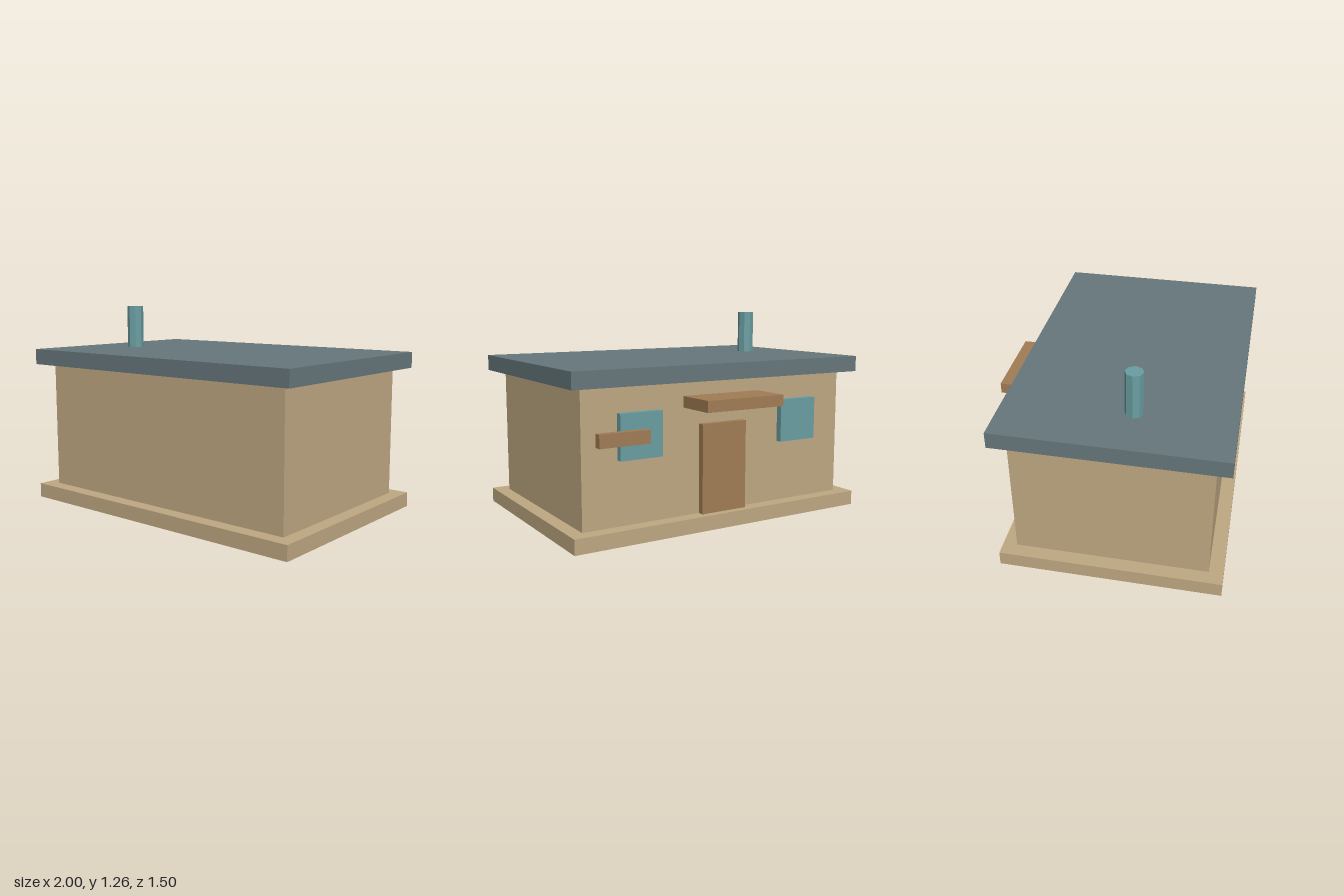
import * as THREE from 'three';

const paint = (color) => new THREE.MeshStandardMaterial({ color, flatShading: true });

export function createModel() {
  const house = new THREE.Group();
  house.name = 'house';
  const sand = paint(0xbfa882);
  const slate = paint(0x66777c);
  const teal = paint(0x6b9ea2);
  const wood = paint(0xa17c55);

  // Adds a box given its extents along each axis
  const addBox = (name, material, [x0, x1], [y0, y1], [z0, z1]) => {
    const mesh = new THREE.Mesh(new THREE.BoxGeometry(x1 - x0, y1 - y0, z1 - z0), material);
    mesh.position.set((x0 + x1) / 2, (y0 + y1) / 2, (z0 + z1) / 2);
    mesh.name = name;
    house.add(mesh);
  };

  // Main body
  addBox('foundation', sand, [-1, 1], [0, 0.09], [-0.58, 0.75]);
  addBox('walls', sand, [-0.915, 0.915], [0.09, 0.887], [-0.495, 0.663]);
  addBox('roof', slate, [-1, 1], [0.887, 0.985], [-0.58, 0.75]);

  // Entrance at the back
  addBox('door', wood, [-0.155, 0.155], [0.09, 0.63], [-0.535, -0.495]);
  addBox('canopy', wood, [-0.265, 0.265], [0.733, 0.8], [-0.75, -0.49]);

  // Mirrored windows
  for (const side of [-1, 1]) {
    const x = side * 0.56;
    addBox(side > 0 ? 'leftWindow' : 'rightWindow', teal,
      [x - 0.135, x + 0.135], [0.47, 0.735], [-0.535, -0.495]);
  }

  // Plain board standing out in front of the left window
  addBox('signBoard', wood, [0.53, 0.845], [0.562, 0.64], [-0.58, -0.535]);

  // Eight-sided chimney pipe
  const chimney = new THREE.Mesh(new THREE.CylinderGeometry(0.053, 0.053, 0.273, 8), teal);
  chimney.position.set(-0.668, 1.1215, 0.172);
  chimney.name = 'chimney';
  house.add(chimney);

  return house;
}
